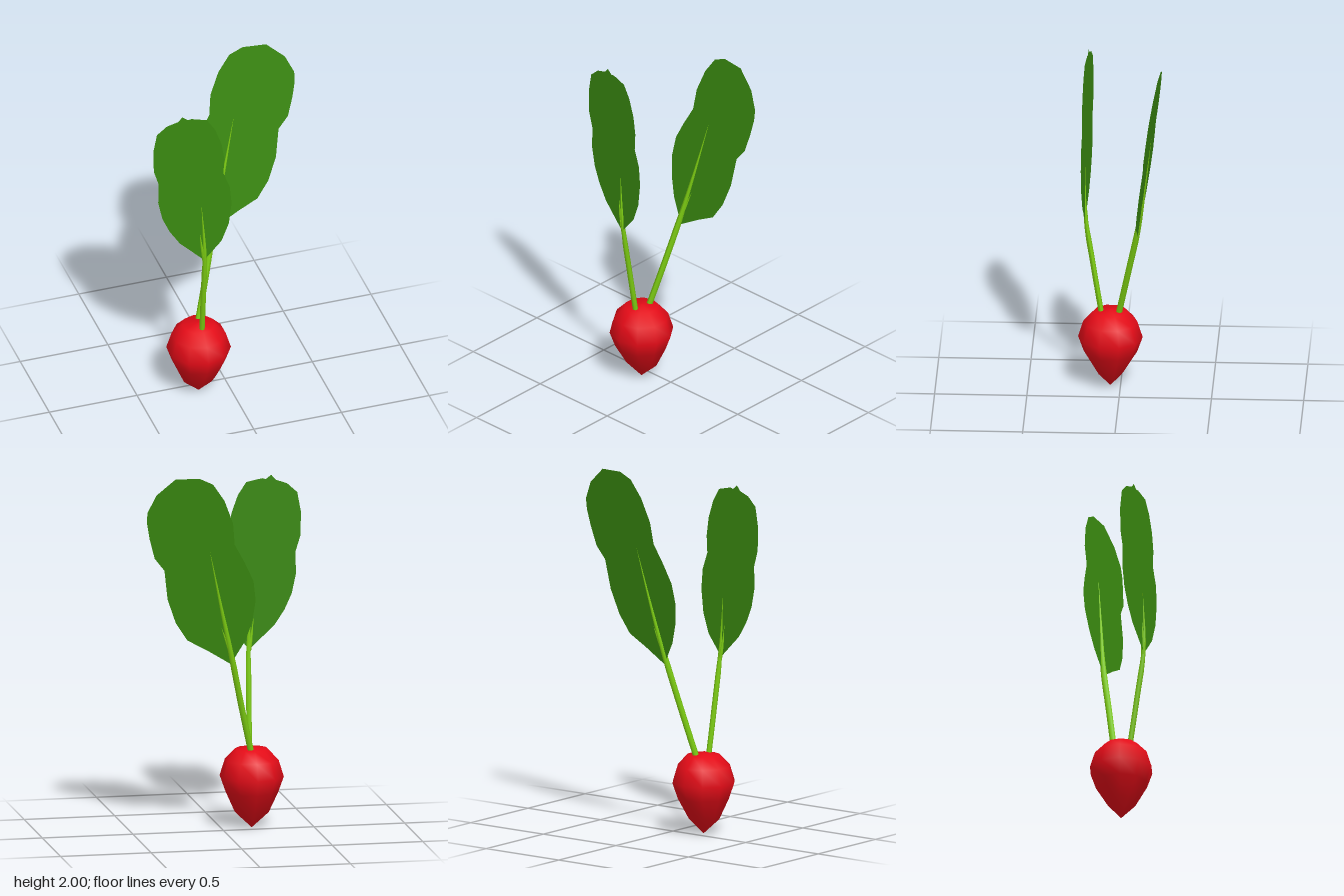
import * as THREE from 'three';

const material = (color, side = THREE.FrontSide) => new THREE.MeshStandardMaterial({ color, side });
const red = material(0xe30b17);
const leafGreen = material(0x3a8a10, THREE.DoubleSide);
const stemGreen = material(0x7ccc12);

function addMesh(group, name, geometry, mat) {
  const mesh = new THREE.Mesh(geometry, mat);
  mesh.name = name;
  group.add(mesh);
  return mesh;
}

// Tube along a curve that narrows to a point at its end
function taperedStem(points, radius, taperStart, sides = 7) {
  const curve = new THREE.CatmullRomCurve3(points.map((p) => new THREE.Vector3(...p)));
  const rings = 16;
  const geometry = new THREE.TubeGeometry(curve, rings, radius, sides, false);
  const pos = geometry.attributes.position;
  const v = new THREE.Vector3();
  for (let i = 0; i < pos.count; i++) {
    const t = Math.floor(i / (sides + 1)) / rings;
    const scale = t < taperStart ? 1 : 1 - 0.97 * (t - taperStart) / (1 - taperStart);
    const centre = curve.getPointAt(t);
    v.fromBufferAttribute(pos, i).sub(centre).multiplyScalar(scale).add(centre);
    pos.setXYZ(i, v.x, v.y, v.z);
  }
  geometry.computeVertexNormals();
  return geometry;
}

// Flat leaf from an outline, laid onto the plane z = a + b x + c y
function leafBlade(outline, a, b, c) {
  const shape = new THREE.Shape(outline.map(([x, y]) => new THREE.Vector2(x, y)));
  const geometry = new THREE.ShapeGeometry(shape);
  const pos = geometry.attributes.position;
  for (let i = 0; i < pos.count; i++) pos.setZ(i, a + b * pos.getX(i) + c * pos.getY(i));
  geometry.computeVertexNormals();
  return geometry;
}

export function createModel() {
  const model = new THREE.Group();
  model.name = 'radish';

  // Ten-sided root, slightly wider from side to side near the tip
  const profile = [[0, 0], [0.075, 0.085], [0.145, 0.2], [0.175, 0.285], [0.147, 0.375], [0.09, 0.435], [0, 0.447]];
  const rootGeometry = new THREE.LatheGeometry(profile.map(([r, y]) => new THREE.Vector2(r, y)), 10);
  const pos = rootGeometry.attributes.position;
  for (let i = 0; i < pos.count; i++) {
    if (pos.getY(i) < 0.1) pos.setX(i, pos.getX(i) * 1.25);
  }
  const root = addMesh(model, 'root', rootGeometry, red);
  root.position.set(-0.167, 0, 0.055);

  // Front leaf, upright with a small notch at its top
  const front = new THREE.Group();
  front.name = 'frontLeaf';
  model.add(front);
  addMesh(front, 'frontBlade', leafBlade([
    [-0.18, 0.955], [-0.085, 1.07], [-0.045, 1.18], [-0.03, 1.31], [-0.04, 1.42], [-0.075, 1.515],
    [-0.07, 1.61], [-0.085, 1.71], [-0.12, 1.81], [-0.165, 1.88], [-0.25, 1.9], [-0.27, 1.895],
    [-0.3, 1.918], [-0.325, 1.89], [-0.385, 1.87], [-0.44, 1.82], [-0.46, 1.71], [-0.457, 1.58],
    [-0.43, 1.49], [-0.433, 1.37], [-0.41, 1.26], [-0.37, 1.17], [-0.315, 1.085],
  ], 0.213, 0.116, 0), leafGreen);
  addMesh(front, 'frontStem', taperedStem(
    [[-0.163, 0.4, 0.1], [-0.17, 0.7, 0.148], [-0.177, 1.0, 0.191], [-0.195, 1.31, 0.191]], 0.015, 0.5), stemGreen);
  addMesh(front, 'frontVein', taperedStem(
    [[-0.18, 0.95, 0.185], [-0.195, 1.05, 0.191], [-0.205, 1.14, 0.19]], 0.01, 0.2), stemGreen);

  // Back leaf, larger and leaning outwards
  const back = new THREE.Group();
  back.name = 'backLeaf';
  model.add(back);
  addMesh(back, 'backBlade', leafBlade([
    [-0.02, 0.94], [0.11, 1.02], [0.22, 1.08], [0.285, 1.18], [0.333, 1.315], [0.355, 1.48],
    [0.41, 1.55], [0.44, 1.66], [0.457, 1.75], [0.457, 1.81], [0.41, 1.91], [0.31, 1.998],
    [0.18, 2.0], [0.105, 1.965], [0.04, 1.87], [-0.01, 1.74], [-0.022, 1.62], [-0.08, 1.515],
    [-0.13, 1.41], [-0.145, 1.3], [-0.13, 1.18], [-0.095, 1.07],
  ], 0.037, 0.091, -0.144), leafGreen);
  addMesh(back, 'backStem', taperedStem(
    [[-0.16, 0.4, 0.014], [-0.09, 0.69, -0.044], [-0.02, 1.0, -0.105], [0.045, 1.28, -0.143], [0.11, 1.58, -0.18]], 0.017, 0.45), stemGreen);
  addMesh(back, 'backVein', taperedStem(
    [[-0.03, 0.97, -0.1], [0.005, 1.06, -0.115], [0.037, 1.15, -0.125]], 0.01, 0.2), stemGreen);

  return model;
}
